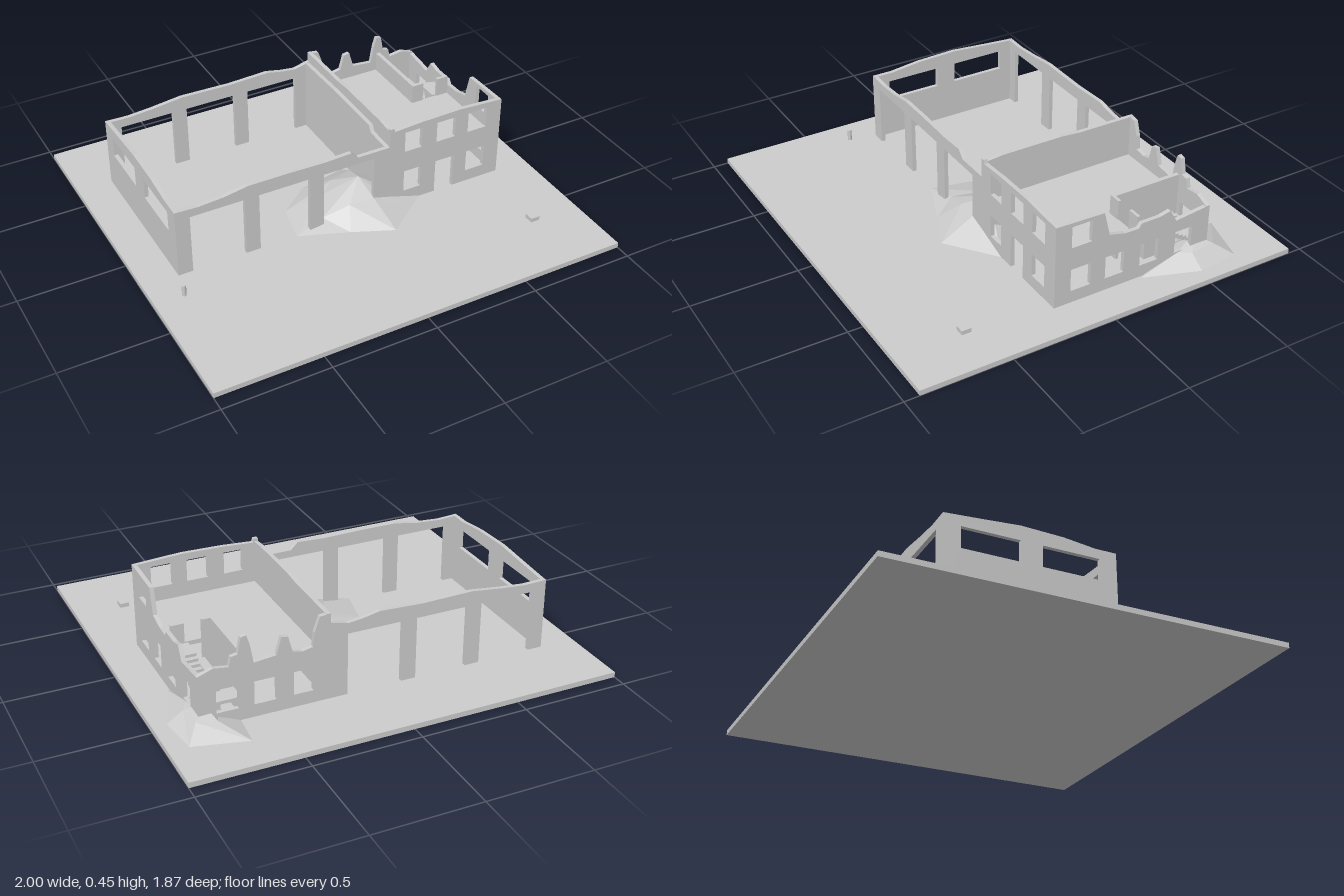
import * as THREE from 'three';

const G = 0.025; // ground level
const T = 0.02;  // wall thickness

export function createModel() {
  const model = new THREE.Group();
  model.name = 'ruinedBuilding';
  const concrete = new THREE.MeshStandardMaterial({ color: 0xcccccc });
  concrete.name = 'concrete';

  function add(name, geometry, parent = model) {
    const mesh = new THREE.Mesh(geometry, concrete);
    mesh.name = name;
    parent.add(mesh);
    return mesh;
  }

  // Box given by its limits on each axis
  function block(name, x0, x1, y0, y1, z0, z1, parent) {
    const g = new THREE.BoxGeometry(x1 - x0, y1 - y0, z1 - z0);
    g.translate((x0 + x1) / 2, (y0 + y1) / 2, (z0 + z1) / 2);
    return add(name, g, parent);
  }

  // Wall with a broken top line [u, y] and rectangular holes [u0, u1, y0, y1].
  // axis 'x': runs along x, from z = at to at + T; axis 'z': runs along z, from x = at to at + T
  function wall(name, axis, at, top, holes = []) {
    const shape = new THREE.Shape();
    shape.moveTo(top[0][0], G - 0.005);
    shape.lineTo(top[top.length - 1][0], G - 0.005);
    for (const [u, y] of [...top].reverse()) shape.lineTo(u, y);
    shape.closePath();
    for (const [u0, u1, y0, y1] of holes) {
      const h = new THREE.Path();
      h.moveTo(u0, y0);
      h.lineTo(u0, y1);
      h.lineTo(u1, y1);
      h.lineTo(u1, y0);
      h.closePath();
      shape.holes.push(h);
    }
    const g = new THREE.ExtrudeGeometry(shape, { depth: T, bevelEnabled: false });
    if (axis === 'x') g.translate(0, 0, at);
    else g.rotateY(-Math.PI / 2).translate(at + T, 0, 0);
    return add(name, g);
  }

  // Faceted heap: apex, middle ring and outer ring on the ground
  function heap(name, apex, mid, outer) {
    const n = outer.length, p = [];
    for (let i = 0; i < n; i++) {
      const j = (i + 1) % n;
      const a = [outer[i][0], G, outer[i][1]], b = [outer[j][0], G, outer[j][1]];
      p.push(...apex, ...mid[i], ...mid[j]);
      p.push(...mid[i], ...a, ...b, ...mid[i], ...b, ...mid[j]);
    }
    const g = new THREE.BufferGeometry();
    g.setAttribute('position', new THREE.Float32BufferAttribute(p, 3));
    g.computeVertexNormals();
    add(name, g);
  }

  // Ground
  block('groundSlab', -1, 1, 0, G, -0.935, 0.93);

  // Garage hall: three tall bays at front and back
  const bays = [[-0.76, -0.5], [-0.43, -0.18], [-0.11, 0.15]].map(([a, b]) => [a, b, G - 0.003, 0.32]);
  wall('garageFrontWall', 'x', 0.18, [[-0.83, 0.365], [-0.72, 0.36], [-0.6, 0.368], [-0.48, 0.388],
    [-0.3, 0.388], [-0.1, 0.384], [0.03, 0.39], [0.065, 0.355], [0.23, 0.355]], bays);
  wall('garageBackWall', 'x', -0.6, [[-0.83, 0.365], [-0.72, 0.362], [-0.6, 0.372], [-0.45, 0.39],
    [-0.2, 0.385], [0, 0.394], [0.08, 0.378], [0.15, 0.37], [0.23, 0.39]], bays);
  wall('garageSideWall', 'z', -0.83, [[-0.6, 0.365], [-0.45, 0.375], [-0.25, 0.39], [-0.05, 0.383],
    [0.1, 0.365], [0.2, 0.365]], [[-0.52, -0.25, 0.22, 0.32], [-0.15, 0.12, 0.22, 0.32]]);
  wall('garageInnerWall', 'z', 0.21, [[-0.6, 0.385], [-0.3, 0.393], [0.04, 0.39], [0.06, 0.36], [0.2, 0.355]]);

  // Two-storey office
  const columns = [[0.31, 0.4], [0.48, 0.58], [0.65, 0.75]];
  const low = ([a, b]) => [a, b, 0.085, 0.195];
  const high = ([a, b]) => [a, b, 0.305, 0.41];
  wall('officeFrontWall', 'x', 0.18, [[0.23, 0.45], [0.25, 0.45], [0.255, 0.432], [0.4, 0.441],
    [0.6, 0.445], [0.83, 0.432]],
  [low(columns[0]), [0.48, 0.58, G - 0.003, 0.195], low(columns[2]), ...columns.map(high)]);
  wall('officeBackWall', 'x', -0.6, [[0.23, 0.435], [0.28, 0.43], [0.305, 0.36], [0.312, 0.295], [0.36, 0.285],
    [0.405, 0.295], [0.425, 0.37], [0.455, 0.375], [0.478, 0.295], [0.58, 0.285], [0.595, 0.37],
    [0.61, 0.42], [0.635, 0.415], [0.65, 0.34], [0.68, 0.335], [0.69, 0.29], [0.76, 0.3], [0.83, 0.275]],
  columns.map(low));
  wall('officeInnerWall', 'z', 0.23, [[-0.6, 0.435], [-0.3, 0.437], [-0.2, 0.445], [0.1, 0.445], [0.2, 0.435]]);
  wall('officeSideWall', 'z', 0.81, [[-0.6, 0.275], [-0.42, 0.255], [-0.385, 0.318], [-0.33, 0.305],
    [-0.235, 0.305], [-0.22, 0.283], [-0.15, 0.285], [-0.07, 0.305], [-0.04, 0.425], [0.2, 0.432]],
  [...[[-0.51, -0.42], [-0.33, -0.235], [-0.15, -0.055], [0.02, 0.12]].map(low), high([0.02, 0.12])]);

  // Upper floor, leaving the stairwell open
  block('upperFloor', 0.25, 0.62, 0.215, 0.235, -0.58, 0.18);
  block('upperFloorSide', 0.62, 0.81, 0.215, 0.235, -0.23, 0.18);

  // Stairwell walls with a doorway
  const stairs = new THREE.Group();
  stairs.name = 'stairwell';
  model.add(stairs);
  block('stairwellWall', 0.61, 0.63, G, 0.33, -0.58, -0.225, stairs);
  block('stairwellFrontLeft', 0.63, 0.67, G, 0.33, -0.24, -0.225, stairs);
  block('stairwellFrontRight', 0.75, 0.81, G, 0.33, -0.24, -0.225, stairs);

  // Two flights joined by a landing
  block('landing', 0.63, 0.81, 0.11, 0.125, -0.58, -0.5, stairs);
  block('stairSpine', 0.695, 0.735, G, 0.2, -0.5, -0.33, stairs);
  const steps = 8, run = 0.18 / steps;
  for (let i = 0; i < steps; i++) {
    const lowTop = G + (i + 1) * 0.1 / steps, z = -0.32 - i * run;
    block('lowerStep', 0.63, 0.695, lowTop - 0.02, lowTop, z - run, z, stairs);
    const highTop = 0.125 + (i + 1) * 0.11 / steps, w = -0.5 + i * run;
    block('upperStep', 0.735, 0.81, highTop - 0.02, highTop, w, w + run, stairs);
  }
  block('upperLanding', 0.735, 0.81, 0.215, 0.235, -0.32, -0.24, stairs);

  // Rubble heaps
  heap('frontRubble', [0.13, 0.16, 0.09],
    [[0.22, 0.105, 0.13], [0.21, 0.1, 0.03], [0.16, 0.1, -0.04], [0.05, 0.095, -0.02], [-0.03, 0.08, 0.04],
      [-0.1, 0.055, 0.17], [0.03, 0.095, 0.19], [0.15, 0.1, 0.2], [0.22, 0.085, 0.19]],
    [[0.4, 0.2], [0.28, 0.03], [0.18, -0.16], [-0.06, -0.11], [-0.21, 0.01],
      [-0.25, 0.2], [-0.02, 0.29], [0.17, 0.375], [0.32, 0.26]]);
  heap('cornerRubble', [0.79, 0.115, -0.55],
    [[0.86, 0.075, -0.5], [0.85, 0.08, -0.62], [0.76, 0.075, -0.64], [0.73, 0.06, -0.56], [0.76, 0.07, -0.47],
      [0.83, 0.08, -0.44]],
    [[0.935, -0.5], [0.91, -0.7], [0.66, -0.765], [0.64, -0.57], [0.72, -0.42], [0.84, -0.24]]);

  // Yard details
  const post = add('post', new THREE.CylinderGeometry(0.01, 0.01, 0.055, 12));
  post.position.set(-0.86, G + 0.0275, 0.33);
  block('yardBlock', 0.743, 0.787, G, 0.045, 0.575, 0.62);

  return model;
}
